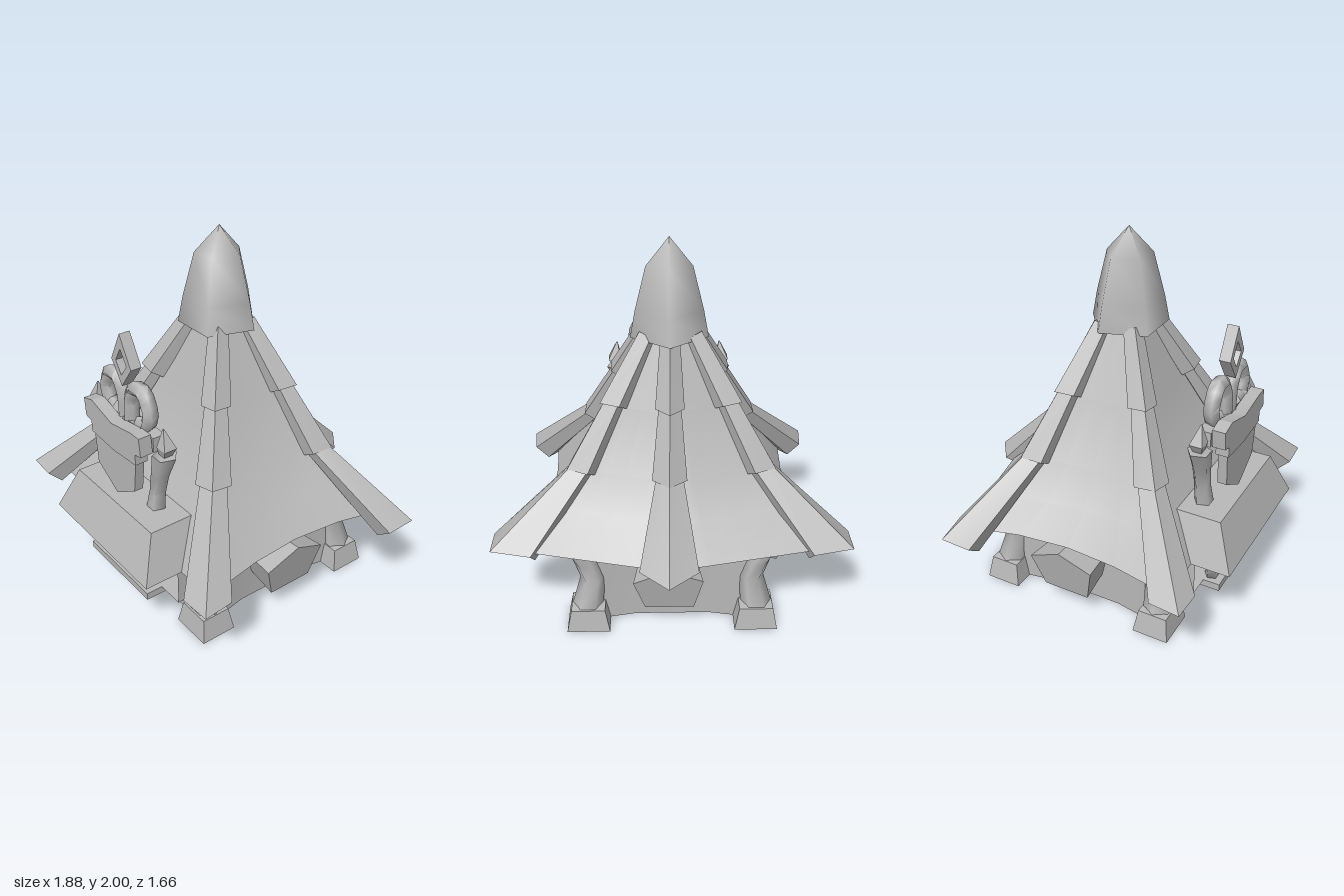
import * as THREE from 'three';
import { toCreasedNormals } from 'three/addons/utils/BufferGeometryUtils.js';

const V = (x, y, z) => new THREE.Vector3(x, y, z);
const stone = new THREE.MeshStandardMaterial({ color: 0xb8b8b8, side: THREE.DoubleSide });
stone.name = 'plain grey';

export function createModel() {
  const model = new THREE.Group();
  model.name = 'hut';

  const add = (name, geo, crease = 0.8, parent = model) => {
    const mesh = new THREE.Mesh(toCreasedNormals(geo, crease), stone);
    mesh.name = name;
    parent.add(mesh);
    return mesh;
  };

  // Skin a series of rings, each listed anticlockwise seen from the last ring
  const loft = (rings, caps = true) => {
    const n = rings[0].length, pos = [], idx = [];
    rings.forEach(r => r.forEach(p => pos.push(p.x, p.y, p.z)));
    for (let i = 0; i < rings.length - 1; i++)
      for (let j = 0; j < n; j++) {
        const a = i * n + j, b = i * n + (j + 1) % n;
        idx.push(a, b, b + n, a, b + n, a + n);
      }
    if (caps) {
      const e = (rings.length - 1) * n;
      for (let j = 1; j < n - 1; j++) idx.push(0, j + 1, j, e, e + j, e + j + 1);
    }
    const g = new THREE.BufferGeometry();
    g.setAttribute('position', new THREE.Float32BufferAttribute(pos, 3));
    g.setIndex(idx);
    g.computeVertexNormals();
    return g;
  };

  const rect = (x0, x1, y, z0, z1) => [V(x0, y, z1), V(x1, y, z1), V(x1, y, z0), V(x0, y, z0)];

  // Upright limb through points with a radius at each
  const limb = (pts, radii, sides = 6) => loft(pts.map((p, i) =>
    Array.from({ length: sides }, (_, k) => {
      const a = (k + 0.5) / sides * Math.PI * 2;
      return V(p[0] + Math.sin(a) * radii[i], p[1], p[2] + Math.cos(a) * radii[i]);
    })));

  // Five ridge ends and the cloth corners below them, anticlockwise from the front left
  const cz = 0.02;
  const ends = [[0.77, 0.69], [0.86, -0.485], [0.02, -0.73], [-0.86, -0.5], [-0.77, 0.69]];
  const corners = [[0.69, 0.62], [0.78, -0.52], [0.02, -0.7], [-0.79, -0.53], [-0.69, 0.62]];
  const at = (e, f, y) => V(e[0] * f, y, cz + (e[1] - cz) * f);

  // Roof cloth, straight at the front and back and sagging at the sides
  const levels = [[0.13, 1.54, 1], [0.34, 1.15, 0.97], [0.54, 0.83, 0.95], [0.72, 0.66, 0.93], [1, 0.505, 0.91]];
  const roofRings = levels.map(([f, y, sag], i) => {
    const eave = i === 4;
    const corner = k => eave ? at(corners[k], 1, corners[k][1] > 0 ? 0.44 : y) : at(ends[k], f, y);
    return ends.flatMap((_, k) => {
      const a = corner(k), b = corner((k + 1) % 5);
      const flank = k === 0 || k === 3, s = flank ? sag : 1;
      return [0, 0.25, 0.5, 0.75].map(t => {
        const bow = 4 * t * (1 - t), q = 1 + (s - 1) * bow;
        const m = a.clone().lerp(b, t);
        return V(m.x * q, m.y + (flank && eave ? 0.03 * bow : 0), cz + (m.z - cz) * q);
      });
    });
  });
  add('roofCloth', loft(roofRings.reverse(), false), 0.9);

  // Ridge beams: three overlapping flared pieces each
  const joints = [[0.14, 1.51], [0.345, 1.18], [0.55, 0.85], [0.96, 0.47]];
  ends.forEach((e, k) => {
    const beam = new THREE.Group();
    beam.name = 'ridgeBeam' + (k + 1);
    model.add(beam);
    const front = e[1] > 0;
    const sizes = [[0.1, 0.15], [0.11, 0.18], [0.13, front ? 0.23 : 0.3]];
    sizes.forEach(([w0, w1], i) => {
      const p = at(e, ...joints[i]), q = at(e, ...joints[i + 1]);
      if (i === 2 && !front) q.y += 0.03;
      const dir = q.clone().sub(p).normalize();
      const side = V(0, 1, 0).cross(dir).normalize();
      const up = dir.clone().cross(side);
      // The wide ends of the back corner beams are cut square to the diagonal
      const cut = i === 2 && (k === 1 || k === 3) ? V(-1, 0, -Math.sign(e[0])).setX(-1).normalize() : side;
      const section = (c, across, w, h, push) => [[-0.5, 0.1, 0], [-0.32, -0.6, 0], [0.32, -0.6, 0], [0.5, 0.1, 0], [0, 0.75, push]]
        .map(([x, y, o]) => c.clone().addScaledVector(across, x * w).addScaledVector(up, y * h).addScaledVector(dir, o));
      p.addScaledVector(dir, i ? -0.04 : 0);
      add('beamPiece', loft([section(p, side, w0, 0.07, 0),
        section(q, cut, w1, i === 2 ? 0.13 : 0.1, i === 2 ? 0.09 : 0.03)]), 0.9, beam);
    });
  });

  // Five-sided peak cap with its back corner on the centre line
  const cap = new THREE.LatheGeometry([[0.13, 1.5], [0.212, 1.49], [0.185, 1.63], [0.125, 1.86], [0, 2]]
    .map(p => new THREE.Vector2(...p)), 5, Math.PI);
  cap.translate(0.005, 0, 0.03);
  add('peakCap', cap, 1.3);

  // Walls, hollowed between the corners
  const wallRing = y => {
    const c = 0.47, m = 0.42;
    return [V(-c, y, 0.48), V(0, y, 0.48), V(c, y, 0.48), V(m, y, 0.2), V(m, y, -0.2), V(c, y, -c),
      V(0.2, y, -m), V(-0.2, y, -m), V(-c, y, -c), V(-m, y, -0.2), V(-m, y, 0.2)];
  };
  add('walls', loft([wallRing(0), wallRing(0.55)], false));

  // Corner posts on hollow block feet
  for (const sx of [-1, 1]) for (const sz of [-1, 1]) {
    const x = 0.45 * sx, z = 0.465 * sz;
    add('cornerFoot', loft([rect(x - 0.115, x + 0.115, 0, z - 0.1, z + 0.1),
      rect(x - 0.09, x + 0.09, 0.125, z - 0.08, z + 0.08), rect(x - 0.03, x + 0.03, 0.13, z - 0.03, z + 0.03)], false), 0.5);
    add('cornerPost', limb([[0.455 * sx, 0.11, z], [0.425 * sx, 0.28, 0.44 * sz],
      [0.455 * sx, 0.38, 0.44 * sz], [0.505 * sx, 0.49, 0.44 * sz]], [0.085, 0.065, 0.067, 0.075]), 1.2);
  }

  // Five-sided window boxes on both sides and the back
  const outline = [[-0.145, 0.15], [0.115, 0.15], [0.16, 0.35], [-0.02, 0.43], [-0.205, 0.34]];
  [[Math.PI / 2, 0], [-Math.PI / 2, 0], [Math.PI, -0.06]].forEach(([turn, shift]) => {
    const ring = (depth, s) => outline.map(([x, y]) =>
      V(-0.02 + (x + 0.02) * s, 0.28 + (y - 0.28) * s, depth ?? 0.575 + y * 0.21 + shift));
    const box = add('windowBox', loft([ring(0.42, 0.88), ring(null, 1)]), 0.7);
    box.rotation.y = turn;
  });

  // Open front bay, counter, struts and awning
  const bayRing = z => [V(-0.39, 0.23, z), V(0.44, 0.23, z), V(0.44, 0.46, z), V(-0.39, 0.46, z)];
  add('frontBay', loft([bayRing(0.48), bayRing(0.63)], false));
  add('counter', new THREE.BoxGeometry(0.55, 0.04, 0.32).translate(0.01, 0.208, 0.56));
  for (const s of [-1, 1])
    add('counterStrut', limb([[0.2 * s, 0.22, 0.65], [0.225 * s, 0.3, 0.66], [0.235 * s, 0.37, 0.66], [0.22 * s, 0.46, 0.65]],
      [0.04, 0.036, 0.04, 0.045], 5), 1.3);
  add('awning', loft([rect(-0.42, 0.46, 0.44, 0.48, 0.83), rect(-0.33, 0.37, 0.68, 0.42, 0.73)]), 0.5);

  // Flat shapes given thickness, used by the sign
  const slab = (pts, z0, depth, hole) => {
    const shape = new THREE.Shape(pts.map(p => new THREE.Vector2(...p)));
    if (hole) shape.holes.push(new THREE.Path(hole.map(p => new THREE.Vector2(...p))));
    return new THREE.ExtrudeGeometry(shape, { depth, bevelEnabled: false }).translate(0, 0, z0);
  };

  // Hanging shield with a sagging top rail
  const sign = new THREE.Group();
  sign.name = 'sign';
  model.add(sign);
  add('shield', slab([[0, 0.7], [0.17, 0.8], [0.21, 1.08], [-0.2, 1.08], [-0.175, 0.8]], 0.64, 0.05), 0.5, sign);
  add('shieldRail', slab([[-0.2, 0.98], [0, 0.965], [0.21, 0.98], [0.21, 1.04], [0.26, 1.05], [0.25, 1.15], [0.18, 1.15],
    [0, 1.12], [-0.18, 1.17], [-0.26, 1.15], [-0.25, 1.05], [-0.2, 1.04]], 0.63, 0.07), 0.5, sign);
  add('crossBar', new THREE.BoxGeometry(0.52, 0.08, 0.07).translate(0, 1.09, 0.59), 0.5, sign);

  // Arms, finials and scrolls, mirrored
  for (const s of [-1, 1]) {
    add('signArm', limb([[0.19 * s, 0.64, 0.58], [0.205 * s, 0.78, 0.57], [0.24 * s, 0.9, 0.575], [0.3 * s, 1.04, 0.585]],
      [0.055, 0.045, 0.05, 0.065], 5), 1.3, sign);
    add('armFinial', limb([[0.29 * s, 1.02, 0.58], [0.315 * s, 1.09, 0.585], [0.3 * s, 1.19, 0.59]],
      [0.025, 0.05, 0.004], 4), 0.4, sign);
    const path = new THREE.CurvePath();
    const pts = [[0.025, 1.12], [0.03, 1.24], [0.07, 1.32], [0.155, 1.32], [0.2, 1.23], [0.17, 1.14], [0.1, 1.13]]
      .map(([x, y]) => V(x * s, y, 0.595));
    for (let i = 1; i < pts.length; i++) path.add(new THREE.LineCurve3(pts[i - 1], pts[i]));
    add('scroll', new THREE.TubeGeometry(path, 18, 0.042, 5), 1.3, sign);
  }

  // Open diamond crest
  add('crest', slab([[0.01, 1.31], [0.1, 1.43], [0.01, 1.59], [-0.075, 1.43]], 0.57, 0.06,
    [[0.01, 1.37], [-0.035, 1.435], [0.01, 1.51], [0.06, 1.435]]), 0.5, sign);

  return model;
}
